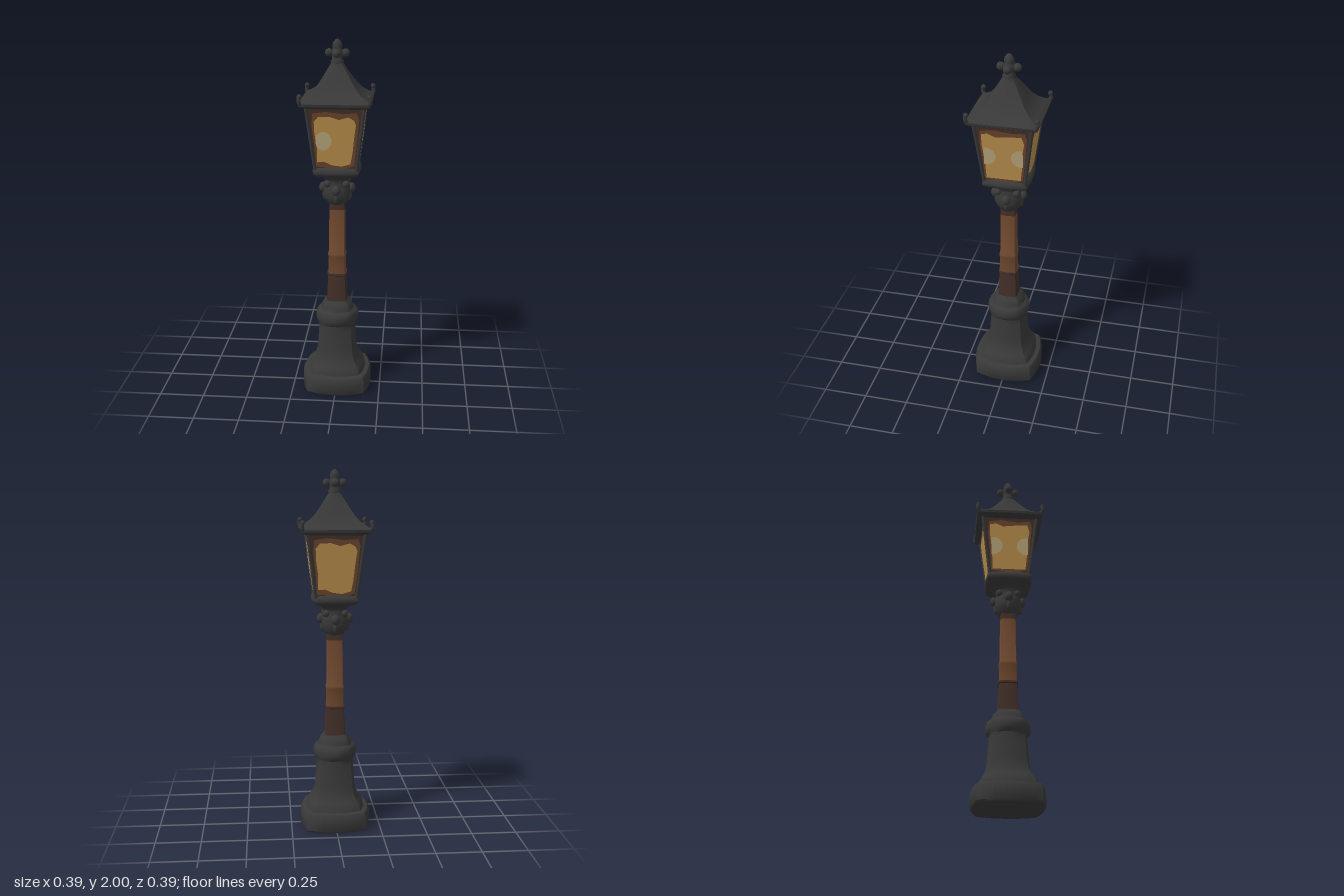
import * as THREE from 'three';
import { toCreasedNormals } from 'three/addons/utils/BufferGeometryUtils.js';

const mat = (name, color) => Object.assign(new THREE.MeshStandardMaterial({ color }), { name });

// Loft of square sections with bowed sides. Rows: [y, half width, corner / half width]
function loft(rows, crease = 0.7) {
  const n = 8, ring = n * 4, pos = [], idx = [];
  for (const [y, a, k] of rows) {
    const c = a * k;
    for (let s = 0; s < 4; s++) {
      const cos = Math.cos(s * Math.PI / 2), sin = Math.sin(s * Math.PI / 2);
      for (let i = 0; i < n; i++) {
        const t = -1 + 2 * i / n, u = t * c, d = c + (a - c) * (1 - t * t);
        pos.push(u * cos + d * sin, y, d * cos - u * sin);
      }
    }
  }
  const last = (rows.length - 1) * ring, bottom = rows.length * ring;
  pos.push(0, rows[0][0], 0, 0, rows[rows.length - 1][0], 0);
  for (let j = 0; j < ring; j++) {
    const k = (j + 1) % ring;
    for (let r = 0; r < last; r += ring) {
      idx.push(r + j, r + k, r + ring + k, r + j, r + ring + k, r + ring + j);
    }
    idx.push(bottom, k, j, bottom + 1, last + j, last + k);
  }
  const g = new THREE.BufferGeometry();
  g.setAttribute('position', new THREE.Float32BufferAttribute(pos, 3));
  g.setIndex(idx);
  return toCreasedNormals(g, crease);
}

// Half width of the tapered lantern at height y
const lanternHalf = y => 0.112 + 0.043 * (y - 1.32) / 0.34;

// Flat painted plate lying on the lantern's sloped front face
function plate(points, offset) {
  const g = new THREE.ShapeGeometry(new THREE.Shape(points.map(([u, y]) => new THREE.Vector2(u, y))));
  const p = g.attributes.position;
  for (let i = 0; i < p.count; i++) p.setZ(i, lanternHalf(p.getY(i)) + offset);
  g.computeVertexNormals();
  return g;
}

function ellipse(cx, cy, rx, ry, limit) {
  return Array.from({ length: 28 }, (_, i) => {
    const a = i / 28 * Math.PI * 2;
    return [Math.max(-limit, Math.min(limit, cx + rx * Math.cos(a))), cy + ry * Math.sin(a)];
  });
}

export function createModel() {
  const model = new THREE.Group();
  const iron = mat('dark iron', 0x393939);
  const darkBrown = mat('dark brown', 0x432f28);
  const brown = mat('post brown', 0x70492f);
  const trim = mat('glass border brown', 0x6a452c);
  const amber = mat('amber glass', 0xb98f4c);
  const pale = mat('pale glow', 0xb9a77c);

  const add = (name, geometry, material, parent = model) => {
    const m = new THREE.Mesh(geometry, material);
    m.name = name;
    parent.add(m);
    return m;
  };
  const ball = (name, parent, x, y, z, rx, ry, rz) => {
    const m = add(name, new THREE.SphereGeometry(1, 20, 14), iron, parent);
    m.position.set(x, y, z);
    m.scale.set(rx, ry, rz);
    return m;
  };

  // Stepped foot, pedestal and round collar
  add('base', loft([
    [0, 0.188, 0.83], [0.01, 0.196, 0.83], [0.085, 0.196, 0.83], [0.103, 0.186, 0.83],
    [0.108, 0.162, 0.83], [0.135, 0.156, 0.83], [0.155, 0.142, 0.83], [0.175, 0.13, 0.83],
    [0.2, 0.119, 0.83], [0.24, 0.112, 0.83], [0.36, 0.104, 0.81], [0.39, 0.104, 0.78],
    [0.4, 0.115, 0.73], [0.42, 0.122, 0.71], [0.445, 0.122, 0.71], [0.465, 0.113, 0.73],
    [0.475, 0.094, 0.78], [0.495, 0.087, 0.8], [0.51, 0.08, 0.82], [0.53, 0.058, 0.88],
  ]), iron);

  // Post
  add('lowerPost', loft([[0.52, 0.059, 0.88], [0.68, 0.051, 0.88], [0.685, 0.056, 0.88],
    [0.695, 0.055, 0.88]]), darkBrown);
  add('post', loft([[0.69, 0.05, 0.88], [0.79, 0.048, 0.88], [0.797, 0.051, 0.88], [0.808, 0.051, 0.88],
    [0.815, 0.047, 0.88], [1.07, 0.044, 0.88]]), brown);
  add('postTop', loft([[1.07, 0.0445, 0.88], [1.11, 0.044, 0.88]]), darkBrown);

  // Capital with scrolls
  add('capital', loft([
    [1.095, 0.04, 0.75], [1.105, 0.05, 0.74], [1.13, 0.068, 0.73], [1.16, 0.076, 0.73],
    [1.2, 0.074, 0.73], [1.23, 0.065, 0.74], [1.25, 0.072, 0.78], [1.265, 0.086, 0.84],
    [1.275, 0.112, 0.9], [1.285, 0.127, 0.92], [1.3, 0.132, 0.92], [1.315, 0.129, 0.92],
    [1.327, 0.118, 0.93], [1.335, 0.105, 0.94],
  ], 0.9), iron);
  const scrolls = new THREE.Group();
  scrolls.name = 'capitalScrolls';
  model.add(scrolls);
  for (let i = 0; i < 4; i++) {
    const side = new THREE.Group();
    side.rotation.y = i * Math.PI / 2;
    scrolls.add(side);
    ball('scroll', side, 0, 1.19, 0.078, 0.024, 0.028, 0.023);
    ball('scrollTail', side, 0, 1.15, 0.066, 0.014, 0.035, 0.016);
    ball('cornerLeaf', side, 0.051, 1.222, 0.051, 0.02, 0.02, 0.02);
  }

  // Lantern body
  add('lanternFrame', loft([[1.32, 0.112, 1], [1.66, 0.155, 1]]), darkBrown);

  // Painted panes: outlines as [sideways, height]
  const borderOutline = [[-0.105, 1.335], [-0.04, 1.33], [0.03, 1.322], [0.1, 1.34], [0.113, 1.45],
    [0.126, 1.6], [0.115, 1.635], [0.04, 1.63], [-0.05, 1.64], [-0.12, 1.63], [-0.124, 1.56], [-0.112, 1.45]];
  const wavyPane = [[-0.098, 1.36], [-0.06, 1.363], [-0.02, 1.345], [0.03, 1.338], [0.08, 1.352],
    [0.092, 1.42], [0.1, 1.5], [0.11, 1.57], [0.1, 1.595], [0.07, 1.612], [0.02, 1.598], [-0.03, 1.614],
    [-0.09, 1.612], [-0.112, 1.585], [-0.11, 1.52], [-0.098, 1.44]];
  const straightPane = [[-0.095, 1.342], [0.09, 1.342], [0.098, 1.42], [0.1, 1.5], [0.112, 1.57],
    [0.1, 1.612], [0.03, 1.608], [-0.04, 1.6], [-0.08, 1.618], [-0.114, 1.61], [-0.112, 1.54], [-0.1, 1.45]];
  const glows = [[-0.063], [-0.095, 0.095], [], [-0.095, 0.095]];
  for (let i = 0; i < 4; i++) {
    const side = new THREE.Group();
    side.name = 'lanternSide';
    side.rotation.y = i * Math.PI / 2;
    model.add(side);
    add('paneBorder', plate(borderOutline, 0.002), trim, side);
    add('pane', plate(i % 2 ? straightPane : wavyPane, 0.004), amber, side);
    for (const u of glows[i]) {
      add('glow', plate(ellipse(u, 1.48, i ? 0.055 : 0.043, 0.052, 0.104), 0.006), pale, side);
    }
    // Corner post of the lantern
    const low = new THREE.Vector3(0.11, 1.31, 0.11), high = new THREE.Vector3(0.154, 1.665, 0.154);
    const bar = new THREE.LineCurve3(low, high);
    add('cornerPost', new THREE.TubeGeometry(bar, 1, 0.01, 10), iron, side);
    // Upturned horn on the roof corner
    const horn = new THREE.CatmullRomCurve3([[0.165, 1.68], [0.18, 1.682], [0.186, 1.7], [0.184, 1.722]]
      .map(([r, y]) => new THREE.Vector3(r, y, r)));
    add('roofHorn', new THREE.TubeGeometry(horn, 10, 0.011, 10), iron, side);
    ball('hornTip', side, 0.183, 1.722, 0.183, 0.013, 0.014, 0.013);
  }

  // Concave hipped roof
  add('roof', loft([
    [1.652, 0.15, 0.99], [1.66, 0.172, 0.99], [1.67, 0.189, 0.985], [1.684, 0.192, 0.985],
    [1.692, 0.183, 0.985], [1.702, 0.163, 0.98], [1.725, 0.131, 0.97], [1.755, 0.106, 0.96],
    [1.79, 0.083, 0.94], [1.825, 0.062, 0.91], [1.855, 0.043, 0.86], [1.875, 0.031, 0.78],
    [1.9, 0.027, 0.72],
  ]), iron);

  // Finial: turned tip and four buds
  const finial = new THREE.Group();
  finial.name = 'finial';
  model.add(finial);
  const tip = [[0.03, 1.865], [0.036, 1.882], [0.026, 1.895], [0.03, 1.915], [0.033, 1.93], [0.026, 1.945],
    [0.024, 1.953], [0.027, 1.965], [0.022, 1.98], [0.011, 1.994], [0, 2]];
  add('finialTip', new THREE.LatheGeometry(tip.map(([r, y]) => new THREE.Vector2(r, y)), 24), iron, finial);
  for (let i = 0; i < 4; i++) {
    const a = i * Math.PI / 2;
    ball('finialBud', finial, 0.044 * Math.sin(a), 1.927, 0.044 * Math.cos(a), 0.022, 0.022, 0.022);
  }
  return model;
}
